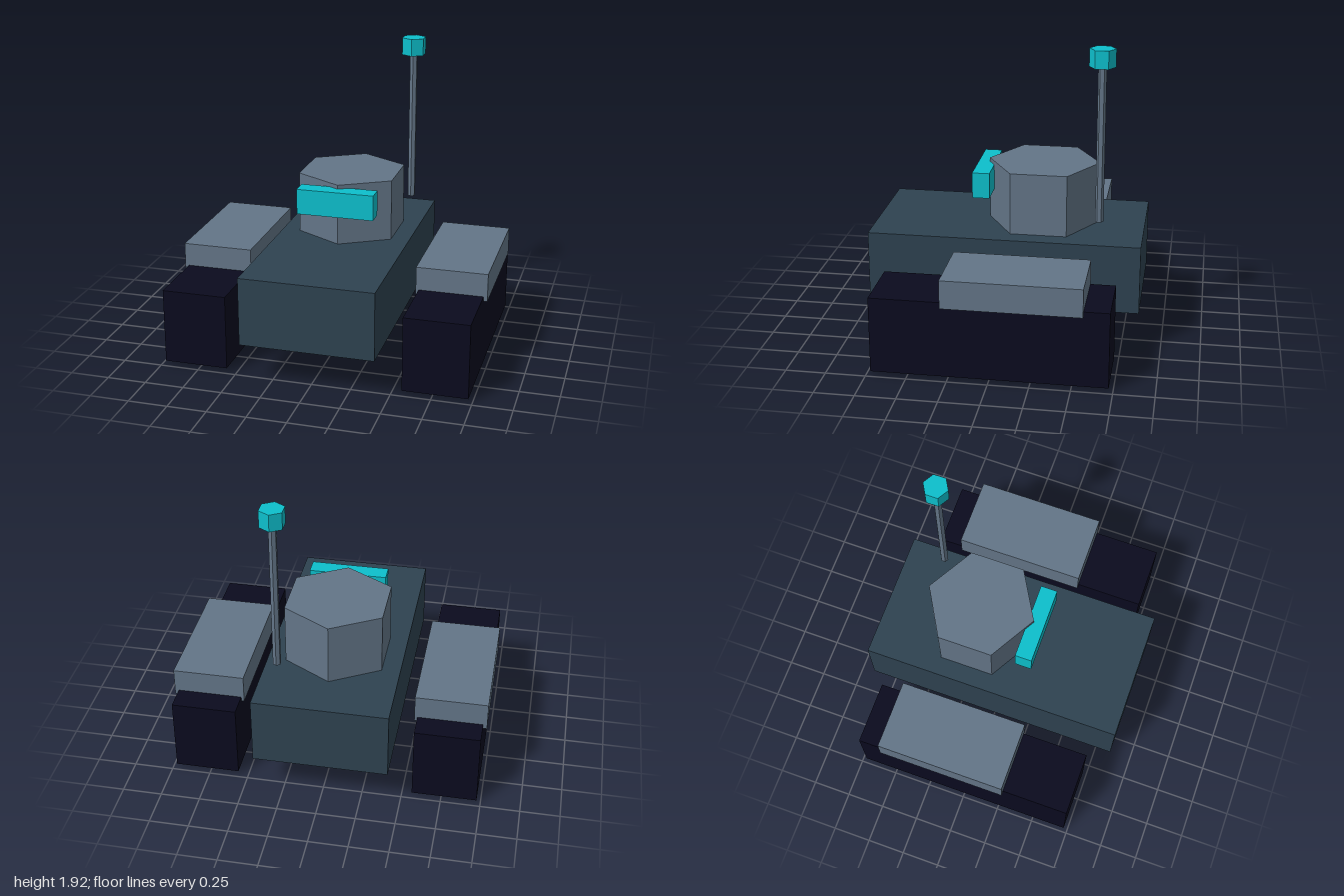
import * as THREE from 'three';

const mat = (name, color) => {
  const m = new THREE.MeshStandardMaterial({ color });
  m.name = name;
  return m;
};

export function createModel() {
  const group = new THREE.Group();
  const hullBlue = mat('hullBlue', 0x2e4250);
  const slate = mat('slateGrey', 0x637587);
  const navy = mat('trackNavy', 0x0a0a1e);
  const cyan = mat('glowCyan', 0x0dbfcc);

  const add = (name, geometry, material, x, y, z) => {
    const mesh = new THREE.Mesh(geometry, material);
    mesh.name = name;
    mesh.position.set(x, y, z);
    group.add(mesh);
  };
  // Box given by its centre x, width, and y and z ranges
  const box = (name, material, x, w, y0, y1, z0, z1) =>
    add(name, new THREE.BoxGeometry(w, y1 - y0, z1 - z0), material, x, (y0 + y1) / 2, (z0 + z1) / 2);
  // Upright six-sided prism with hard-edged sides
  const hexPrism = (name, material, r, y0, y1, x, z) => {
    const g = new THREE.CylinderGeometry(r, r, y1 - y0, 6).toNonIndexed();
    g.computeVertexNormals();
    add(name, g, material, x, (y0 + y1) / 2, z);
  };

  // Body, turret and sensor visor
  box('hull', hullBlue, 0, 0.853, 0.265, 0.705, -0.86, 0.86);
  hexPrism('turret', slate, 0.356, 0.705, 1.103, 0, -0.208);
  box('visor', cyan, 0, 0.5, 0.912, 1.077, 0.11, 0.22);

  // Antenna at the rear left
  hexPrism('antennaMast', slate, 0.026, 0.825, 1.815, 0.316, -0.591);
  hexPrism('antennaTip', cyan, 0.081, 1.808, 1.92, 0.316, -0.591);

  // Mirrored track pods
  for (const [side, s] of [['left', 1], ['right', -1]]) {
    box(side + 'Track', navy, s * 0.77, 0.411, 0.023, 0.507, -0.724, 0.724);
    box(side + 'Fender', slate, s * 0.773, 0.454, 0.478, 0.658, -0.567, 0.285);
    box(side + 'GlowPad', cyan, s * 0.77, 0.247, 0, 0.04, -0.516, 0.516);
  }
  return group;
}
